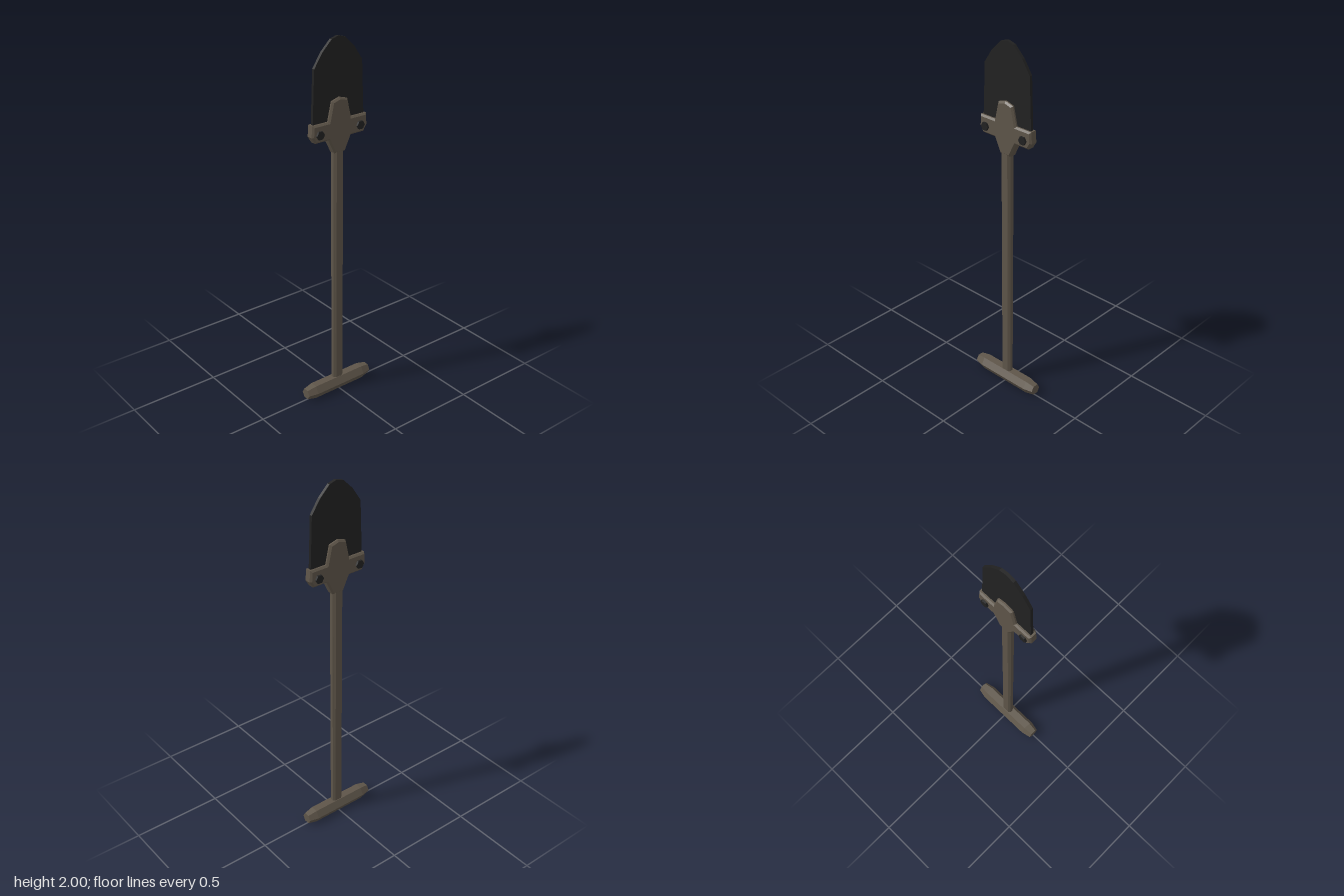
import * as THREE from 'three';

const material = (name, color) => {
  const m = new THREE.MeshStandardMaterial({ color, flatShading: true });
  m.name = name;
  return m;
};

const shapeFrom = (pts) => new THREE.Shape(pts.map(([x, y]) => new THREE.Vector2(x, y)));

// Closes a right-hand half outline by mirroring it across x = 0
const mirrored = (half) => shapeFrom([...half, ...half.filter(([x]) => x > 0).reverse().map(([x, y]) => [-x, y])]);

// Extrudes a shape centred on z = 0 with chamfered edges
function plate(shape, thickness, bevel = 0) {
  const depth = thickness - 2 * bevel;
  const geo = new THREE.ExtrudeGeometry(shape, {
    depth, bevelEnabled: bevel > 0, bevelThickness: bevel, bevelSize: bevel, bevelOffset: -bevel, bevelSegments: 1,
  });
  return geo.translate(0, 0, -depth / 2);
}

export function createModel() {
  const group = new THREE.Group();
  const brown = material('weathered brown', 0x5e5549);
  const black = material('dark steel', 0x212121);
  const add = (name, geo, mat, x = 0, y = 0, z = 0) => {
    const mesh = new THREE.Mesh(geo, mat);
    mesh.name = name;
    mesh.position.set(x, y, z);
    group.add(mesh);
  };

  // Thin rounded blade
  add('blade', plate(mirrored([
    [0.161, 1.53], [0.147, 1.86], [0.098, 1.933], [0.042, 1.988], [0, 2],
  ]), 0.016), black, 0.005);

  // Cross-shaped socket clamping the blade
  add('bladeSocket', plate(mirrored([
    [0.033, 1.41], [0.071, 1.488], [0.152, 1.488], [0.173, 1.522], [0.168, 1.583],
    [0.071, 1.583], [0.048, 1.683], [0, 1.697],
  ]), 0.05, 0.009), brown, 0.005);

  // Hexagonal bolts through both wings
  for (const side of [-1, 1]) {
    const bolt = new THREE.CylinderGeometry(0.0235, 0.0235, 0.071, 6).rotateY(Math.PI / 2).rotateX(Math.PI / 2);
    add(side > 0 ? 'leftBolt' : 'rightBolt', bolt, black, 0.002 + side * 0.126, 1.53);
  }

  // Chamfered shaft, slimmer front to back towards the grip
  const w = 0.031, d = 0.023, c = 0.012;
  const section = shapeFrom([
    [w, d - c], [w - c, d], [c - w, d], [-w, d - c], [-w, c - d], [c - w, -d], [w - c, -d], [w, c - d],
  ]);
  const shaft = new THREE.ExtrudeGeometry(section, { depth: 1.41, bevelEnabled: false });
  shaft.rotateX(-Math.PI / 2).translate(0, 0.04, 0);
  const p = shaft.attributes.position;
  for (let i = 0; i < p.count; i++) {
    p.setZ(i, p.getZ(i) * THREE.MathUtils.mapLinear(p.getY(i), 0.04, 1.45, 0.8, 1));
  }
  add('shaft', shaft, brown, 0.002);

  // Six-sided cross grip with tapered ends
  const profile = [[0, -0.213], [0.031, -0.213], [0.043, -0.16], [0.043, 0.16], [0.031, 0.213], [0, 0.213]];
  const grip = new THREE.LatheGeometry(profile.map(([r, h]) => new THREE.Vector2(r, h)), 6).rotateZ(-Math.PI / 2);
  add('crossGrip', grip, brown, 0, 0.0373, -0.001);

  return group;
}
